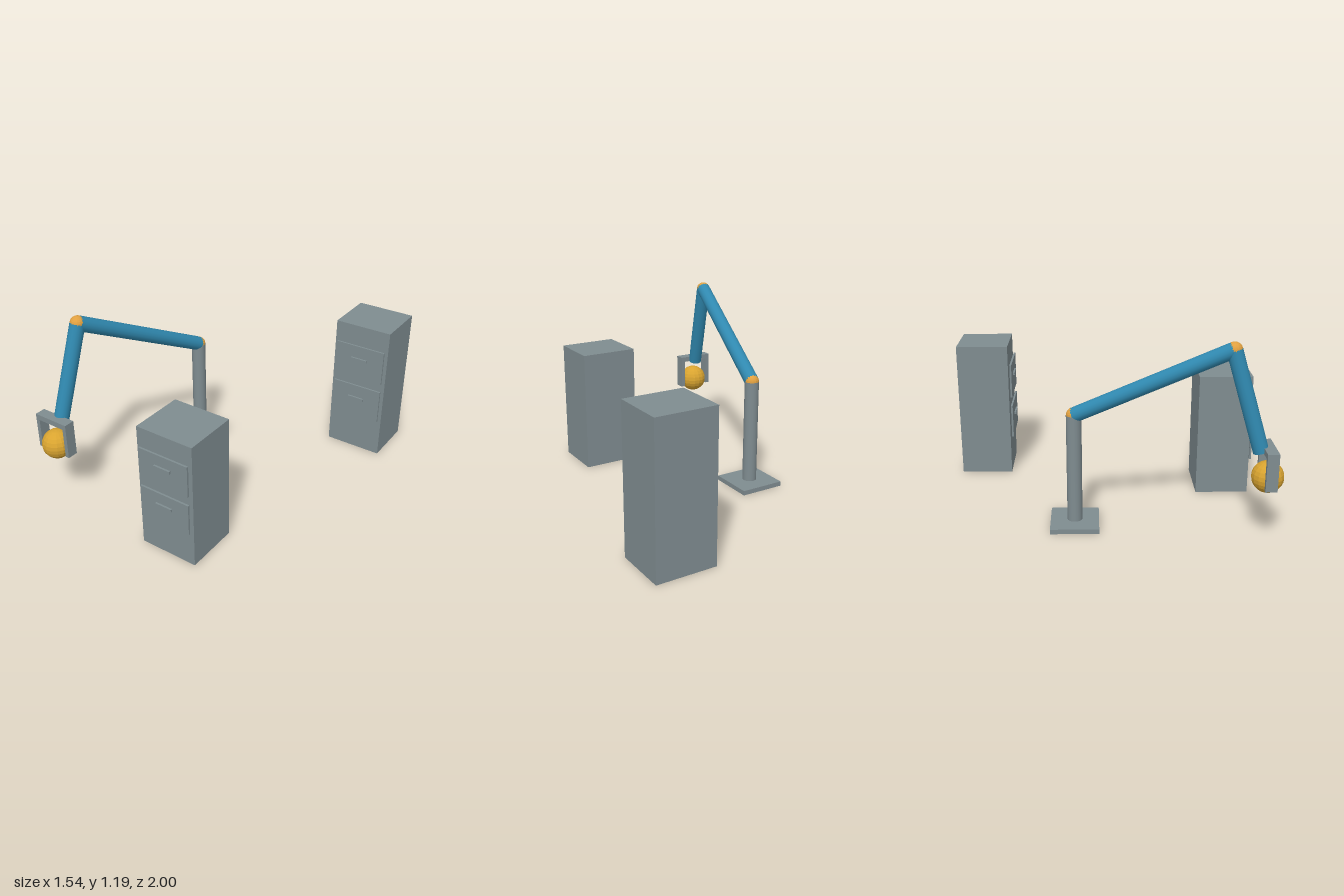
import * as THREE from 'three';

const mat = (name, color, flatShading = false) => {
  const m = new THREE.MeshStandardMaterial({ color });
  m.name = name;
  m.flatShading = flatShading;
  return m;
};

export function createModel() {
  const grey = mat('grey', 0x7f8c90);
  const greyFaceted = grey;
  const blue = mat('blue', 0x3089b0);
  const orange = mat('orange', 0xe0a040, true);
  const gold = mat('gold', 0xd9a430, true);

  const root = new THREE.Group();
  root.name = 'robotArmAndCabinets';

  const add = (parent, name, geometry, material, x, y, z) => {
    const mesh = new THREE.Mesh(geometry, material);
    mesh.name = name;
    mesh.position.set(x, y, z);
    parent.add(mesh);
    return mesh;
  };
  // box given by its lower and upper corner
  const box = (parent, name, material, [x0, y0, z0], [x1, y1, z1]) =>
    add(parent, name, new THREE.BoxGeometry(x1 - x0, y1 - y0, z1 - z0), material,
      (x0 + x1) / 2, (y0 + y1) / 2, (z0 + z1) / 2);
  // round bar between two points
  const rod = (parent, name, material, a, b, radius) => {
    const dir = b.clone().sub(a);
    const mid = a.clone().add(b).multiplyScalar(0.5);
    const mesh = add(parent, name, new THREE.CylinderGeometry(radius, radius, dir.length(), 16),
      material, mid.x, mid.y, mid.z);
    mesh.quaternion.setFromUnitVectors(new THREE.Vector3(0, 1, 0), dir.normalize());
    return mesh;
  };

  // filing cabinets: body, two floating drawer fronts, two handles
  const cabinet = (name, cx, zFront, height, drawers) => {
    const g = new THREE.Group();
    g.name = name;
    box(g, 'cabinetBody', grey, [cx - 0.187, 0, zFront - 0.342], [cx + 0.187, height, zFront]);
    for (const [low, high] of drawers) {
      const mid = (low + high) / 2 + 0.022;
      box(g, 'drawerFront', grey, [cx - 0.167, low, zFront + 0.008], [cx + 0.167, high, zFront + 0.02]);
      box(g, 'drawerHandle', grey, [cx - 0.055, mid - 0.009, zFront + 0.02], [cx + 0.055, mid + 0.009, zFront + 0.032]);
    }
    root.add(g);
  };
  cabinet('frontCabinet', 0.215, 0.936, 0.8, [[0.483, 0.681], [0.226, 0.425]]);
  cabinet('backCabinet', 0.583, -0.66, 0.908, [[0.545, 0.773], [0.255, 0.484]]);

  // robot arm
  const arm = new THREE.Group();
  arm.name = 'robotArm';
  root.add(arm);
  const foot = new THREE.Vector3(-0.398, 0.03, -0.202);
  const shoulder = new THREE.Vector3(-0.398, 0.703, -0.202);
  const elbow = new THREE.Vector3(-0.6, 1.146, 0.687);
  const wrist = new THREE.Vector3(-0.642, 0.562, 0.86);
  box(arm, 'basePlate', grey, [-0.545, 0, -0.35], [-0.25, 0.03, -0.055]);
  rod(arm, 'post', greyFaceted, foot, shoulder, 0.046);
  rod(arm, 'upperArm', blue, shoulder, elbow, 0.046);
  rod(arm, 'forearm', blue, elbow, wrist, 0.046);
  for (const [name, p] of [['shoulderJoint', shoulder], ['elbowJoint', elbow]]) {
    add(arm, name, new THREE.SphereGeometry(0.046, 16, 12), orange, p.x, p.y, p.z);
  }

  // gripper holding the ball
  const gripper = new THREE.Group();
  gripper.name = 'gripper';
  arm.add(gripper);
  box(gripper, 'crossbar', grey, [-0.773, 0.561, 0.87], [-0.53, 0.596, 0.938]);
  for (const side of [-1, 1]) {
    const x = -0.6515 + side * 0.1085;
    box(gripper, 'finger', grey, [x - 0.013, 0.368, 0.87], [x + 0.013, 0.561, 0.938]);
  }
  add(root, 'ball', new THREE.SphereGeometry(0.094, 16, 12), gold, -0.6515, 0.413, 0.905);

  return root;
}
